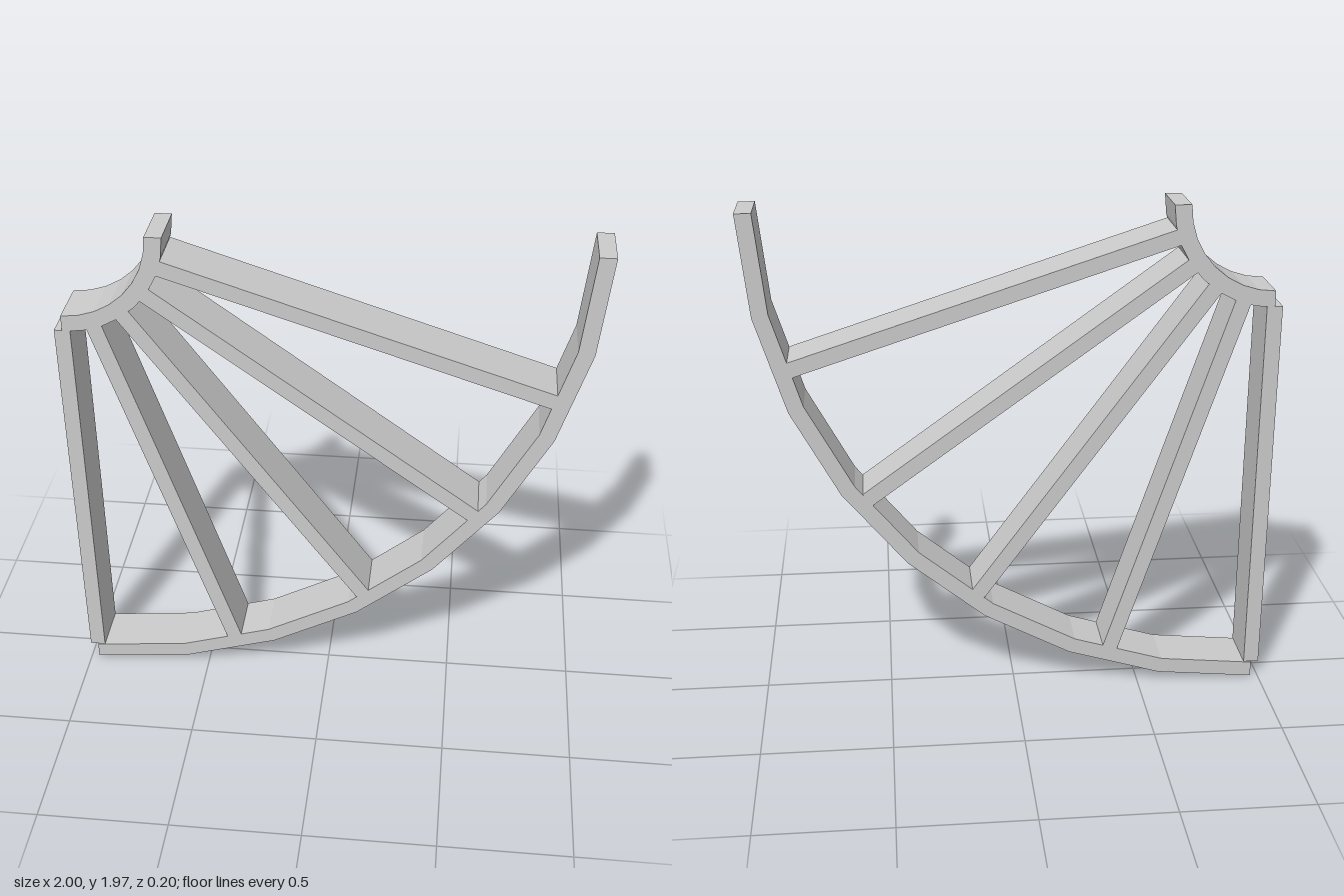
import * as THREE from 'three';

const CX = -0.97, CY = 1.97; // common centre of both arcs
const DEPTH = 0.2;
const SEGMENTS = 8;

// Point at radius r, angle a measured from straight down towards +x
const polar = (r, a) => new THREE.Vector2(CX + r * Math.sin(a), CY - r * Math.cos(a));

// Faceted quarter ring extruded along z
function quarterRing(name, inner, outer, material) {
  const points = [];
  for (let i = 0; i <= SEGMENTS; i++) points.push(polar(outer, (i / SEGMENTS) * Math.PI / 2));
  for (let i = SEGMENTS; i >= 0; i--) points.push(polar(inner, (i / SEGMENTS) * Math.PI / 2));
  const geometry = new THREE.ExtrudeGeometry(new THREE.Shape(points), { depth: DEPTH, bevelEnabled: false });
  geometry.translate(0, 0, -DEPTH / 2);
  const mesh = new THREE.Mesh(geometry, material);
  mesh.name = name;
  return mesh;
}

export function createModel() {
  const group = new THREE.Group();
  group.name = 'quarterFanFrame';
  const material = new THREE.MeshStandardMaterial({ color: 0xcccccc, flatShading: true });

  // Rims
  const hubInner = 0.33, hubOuter = 0.393, rimInner = 1.905, rimOuter = 1.967;
  group.add(quarterRing('innerArc', hubInner, hubOuter, material));
  group.add(quarterRing('outerArc', rimInner, rimOuter, material));

  // Five spokes, 18 degrees apart, starting from the vertical one
  const start = 0.39, end = 1.9;
  const spokeGeometry = new THREE.BoxGeometry(0.06, end - start, DEPTH);
  for (let i = 0; i < 5; i++) {
    const angle = THREE.MathUtils.degToRad(18 * i);
    const middle = polar((start + end) / 2, angle);
    const spoke = new THREE.Mesh(spokeGeometry, material);
    spoke.name = `spoke${i + 1}`;
    spoke.position.set(middle.x, middle.y, 0);
    spoke.rotation.z = angle;
    group.add(spoke);
  }
  return group;
}
